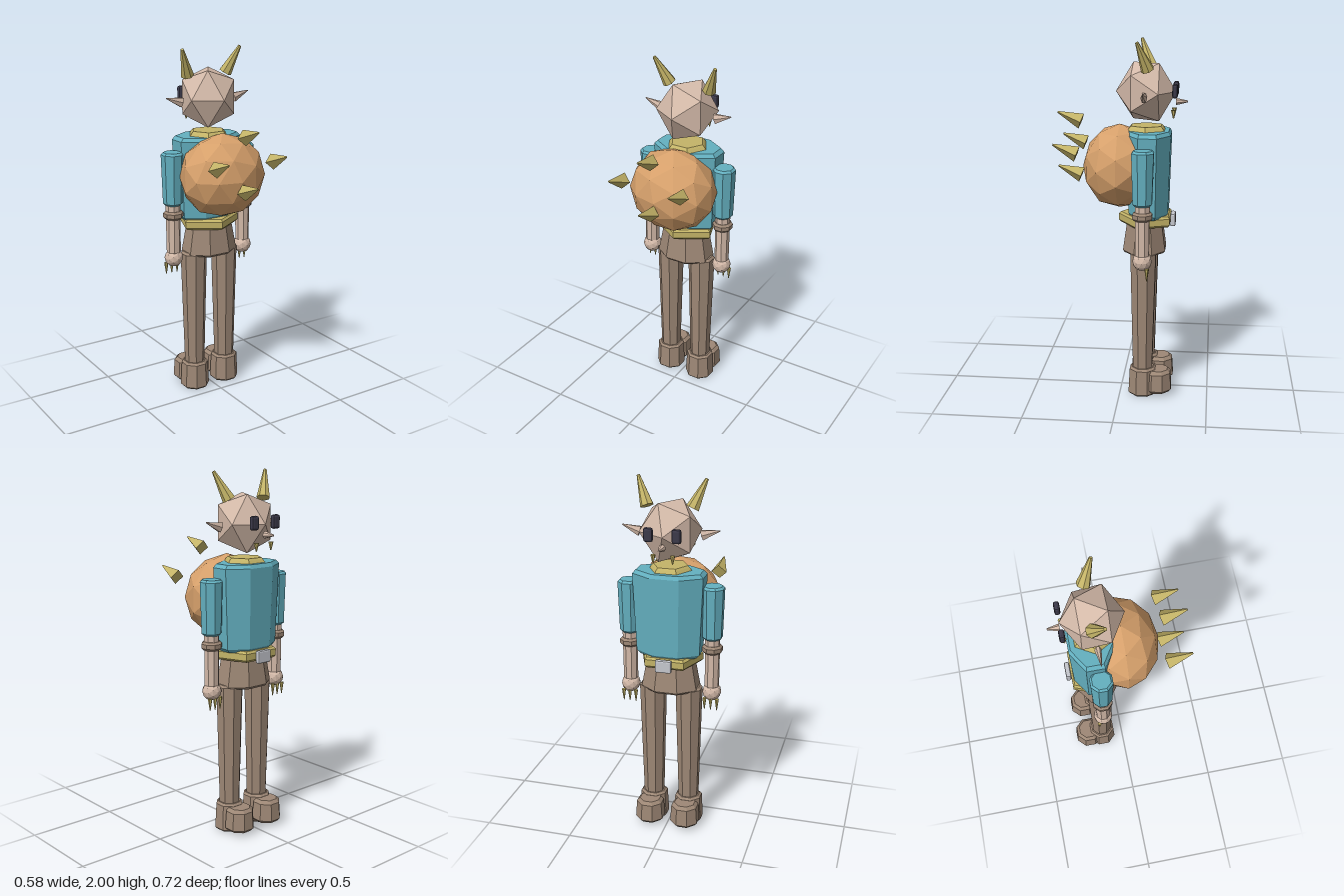
import * as THREE from 'three';
import { RoundedBoxGeometry } from 'three/addons/geometries/RoundedBoxGeometry.js';

const mat = (name, color) => {
  const m = new THREE.MeshStandardMaterial({ color, flatShading: true });
  m.name = name;
  return m;
};

export function createModel() {
  const skin = mat('skin', 0xd4baa9);
  const brown = mat('brownHide', 0x9e8876);
  const teal = mat('tealCloth', 0x64b0c0);
  const gold = mat('goldHorn', 0xc4b468);
  const orange = mat('orangeShell', 0xd6a06b);
  const dark = mat('darkEye', 0x3c3a4a);
  const silver = mat('silverBuckle', 0xc6c8cf);

  const root = new THREE.Group();
  root.name = 'hornedCreature';

  const add = (name, geo, material, x = 0, y = 0, z = 0) => {
    const g = geo.index ? geo.toNonIndexed() : geo;
    g.computeVertexNormals();
    const m = new THREE.Mesh(g, material);
    m.name = name;
    m.position.set(x, y, z);
    root.add(m);
    return m;
  };

  // Faceted column with chamfered rims, closed at both ends
  const column = (name, material, sides, phase, rBottom, rTop, y0, y1, x, z, bevel = 0.012) => {
    const pts = [[0, y0], [rBottom - bevel, y0], [rBottom, y0 + bevel],
      [rTop, y1 - bevel], [rTop - bevel, y1], [0, y1]]
      .map(([r, y]) => new THREE.Vector2(r, y));
    return add(name, new THREE.LatheGeometry(pts, sides, phase), material, x, 0, z);
  };

  // Blunt spike running from its base point to its tip
  const spike = (name, material, base, tip, rBase, rTip, sides) => {
    const a = new THREE.Vector3(...base), b = new THREE.Vector3(...tip);
    const dir = b.clone().sub(a);
    const mid = a.clone().add(b).multiplyScalar(0.5);
    const m = add(name, new THREE.CylinderGeometry(rTip, rBase, dir.length(), sides), material, mid.x, mid.y, mid.z);
    m.quaternion.setFromUnitVectors(new THREE.Vector3(0, 1, 0), dir.normalize());
    return m;
  };

  const OCT = Math.PI / 8;

  // Torso, hips, belt and collar
  column('torso', teal, 8, OCT, 0.19, 0.21, 1.04, 1.515, 0, -0.152, 0.02).scale.z = 0.62;
  column('hips', brown, 8, OCT, 0.168, 0.14, 0.83, 1.0, 0, -0.13).scale.z = 0.76;
  column('belt', gold, 5, 0, 0.16, 0.16, 0.99, 1.05, 0, -0.144).scale.x = 1.15;
  add('beltBuckle', new RoundedBoxGeometry(0.09, 0.07, 0.028, 1, 0.008), silver, 0, 1.015, -0.288);
  column('collar', gold, 6, Math.PI / 6, 0.12, 0.105, 1.5, 1.54, 0, -0.135, 0.01);

  // Head
  const head = add('head', new THREE.IcosahedronGeometry(0.17, 0).rotateY(1.017), skin, 0, 1.724, -0.132);
  head.scale.set(1, 1.07, 0.97);
  spike('nose', skin, [0, 1.67, -0.295], [0, 1.672, -0.358], 0.02, 0.005, 7);

  // Shell with four spikes
  const shell = add('shell', new THREE.IcosahedronGeometry(1, 1).rotateY(1.017), orange, 0, 1.31, 0.012);
  shell.scale.set(0.25, 0.235, 0.205);
  for (const [x, y] of [[0, 1.555], [0, 1.255], [0.182, 1.405], [-0.182, 1.405]])
    spike('shellSpike', gold, [x, y, 0.226], [x, y + 0.05, 0.356], 0.044, 0.005, 4);

  for (const s of [1, -1]) {
    // Face details
    spike('horn', gold, [s * 0.122, 1.85, -0.148], [s * 0.184, 1.996, -0.095], 0.037, 0.009, 7);
    const ear = spike('ear', skin, [s * 0.168, 1.708, -0.132], [s * 0.265, 1.738, -0.132], 0.03, 0.003, 6);
    ear.scale.z = 0.6;
    add('eye', new RoundedBoxGeometry(0.05, 0.075, 0.03, 1, 0.012), dark, s * 0.075, 1.735, -0.292);
    spike('fang', gold, [s * 0.052, 1.63, -0.284], [s * 0.052, 1.585, -0.284], 0.014, 0.003, 6);

    // Arm
    const ax = s * 0.233, az = -0.133;
    column('sleeve', teal, 8, OCT, 0.056, 0.064, 1.14, 1.44, ax, az);
    column('forearm', skin, 8, OCT, 0.04, 0.042, 0.86, 1.15, ax, az, 0.005);
    column('cuff', brown, 8, OCT, 0.057, 0.057, 1.06, 1.107, ax, az);
    add('hand', new THREE.IcosahedronGeometry(0.053, 1), skin, ax, 0.831, az);
    for (const d of [-0.035, 0, 0.035])
      spike('claw', gold, [ax + d, 0.797, -0.16], [ax + d, 0.73, -0.16], 0.012, 0.002, 6);

    // Leg and boot
    const lx = s * 0.103;
    column('leg', brown, 8, OCT, 0.058, 0.076, 0.14, 0.85, lx, -0.13);
    column('bootHeel', brown, 8, OCT, 0.085, 0.078, 0, 0.165, lx, -0.13);
    column('bootToe', brown, 8, OCT, 0.085, 0.078, 0.018, 0.152, lx, -0.216, 0.018);
  }
  return root;
}
